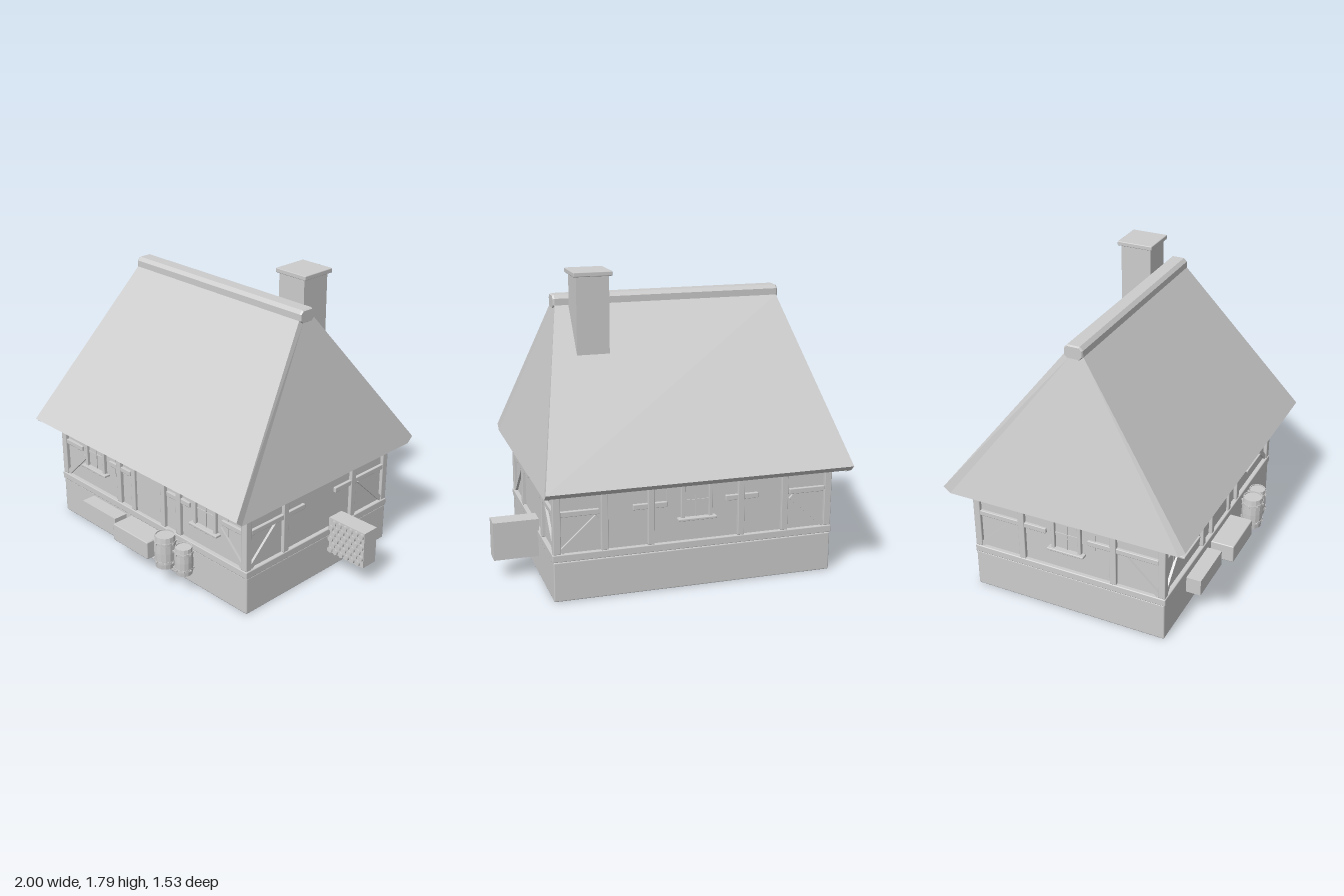
import * as THREE from 'three';
import { RoundedBoxGeometry } from 'three/addons/geometries/RoundedBoxGeometry.js';

export function createModel() {
  const model = new THREE.Group();
  const clay = new THREE.MeshStandardMaterial({ color: 0xcccccc });
  clay.name = 'light grey';

  const add = (parent, name, geometry) => {
    const mesh = new THREE.Mesh(geometry, clay);
    mesh.name = name;
    parent.add(mesh);
    return mesh;
  };
  // box between two corners, optionally with a small bevel
  const block = (parent, name, x0, x1, y0, y1, z0, z1, bevel = 0) => {
    const size = [x1 - x0, y1 - y0, z1 - z0];
    const g = bevel ? new RoundedBoxGeometry(...size, 1, bevel) : new THREE.BoxGeometry(...size);
    const mesh = add(parent, name, g);
    mesh.position.set((x0 + x1) / 2, (y0 + y1) / 2, (z0 + z1) / 2);
    return mesh;
  };

  // base and wall core
  block(model, 'foundation', -0.935, 0.735, 0, 0.235, -0.62, 0.59, 0.008);
  block(model, 'sillBeam', -0.94, 0.74, 0.235, 0.28, -0.622, 0.597, 0.006);
  block(model, 'walls', -0.915, 0.715, 0.25, 0.77, -0.6, 0.57);
  for (const x of [-0.935, 0.69])
    for (const z of [-0.62, 0.55])
      block(model, 'cornerPost', x, x + 0.045, 0.28, 0.77, z, z + 0.043, 0.005);

  // timber parts, in wall coordinates: u along the wall, y up, z outward from the plaster
  const post = (w, u, width = 0.04) =>
    block(w, 'post', u - width / 2, u + width / 2, 0.28, 0.76, -0.01, 0.022, 0.004);
  const rail = (w, u0, u1) => block(w, 'rail', u0, u1, 0.495, 0.527, -0.01, 0.018, 0.004);
  const brace = (w, u0, y0, u1, y1) => {
    const length = Math.hypot(u1 - u0, y1 - y0);
    const m = add(w, 'brace', new THREE.BoxGeometry(length, 0.03, 0.026));
    m.position.set((u0 + u1) / 2, (y0 + y1) / 2, 0.002);
    m.rotation.z = Math.atan2(y1 - y0, u1 - u0);
  };
  const windowUnit = (w, u) => {
    const g = new THREE.Group();
    g.name = 'window';
    g.position.x = u;
    w.add(g);
    block(g, 'shutters', -0.178, 0.178, 0.43, 0.61, -0.004, 0.004);
    block(g, 'pane', -0.075, 0.075, 0.42, 0.62, 0, 0.007);
    for (const s of [-1, 1])
      block(g, 'jamb', s * 0.083 - 0.011, s * 0.083 + 0.011, 0.42, 0.62, 0, 0.025, 0.003);
    block(g, 'mullion', -0.004, 0.004, 0.42, 0.62, 0, 0.012);
    block(g, 'crossbar', -0.075, 0.075, 0.515, 0.523, 0, 0.012);
    block(g, 'lintel', -0.102, 0.102, 0.615, 0.637, 0, 0.032, 0.004);
    block(g, 'windowSill', -0.115, 0.115, 0.407, 0.422, 0, 0.042, 0.004);
  };
  const wall = (name, x, z, angle) => {
    const g = new THREE.Group();
    g.name = name;
    g.position.set(x, 0, z);
    g.rotation.y = angle;
    model.add(g);
    return g;
  };

  // front wall
  const front = wall('frontWall', -0.1, 0.57, 0);
  for (const s of [-1, 1]) {
    post(front, s * 0.27);
    post(front, s * 0.134, 0.037);
    rail(front, s * 0.265 - 0.1, s * 0.265 + 0.1);
    rail(front, s * 0.71 - 0.08, s * 0.71 + 0.08);
    brace(front, s * 0.79, 0.29, s * 0.61, 0.465);
    windowUnit(front, s * 0.497);
  }
  block(front, 'door', -0.115, 0.115, 0.28, 0.68, -0.002, 0.006);

  // back wall
  const back = wall('backWall', -0.1, -0.6, Math.PI);
  windowUnit(back, 0);
  for (const s of [-1, 1]) {
    post(back, s * 0.27);
    post(back, s * 0.54);
    rail(back, s * 0.275 - 0.1, s * 0.275 + 0.1);
    rail(back, s * 0.68 - 0.11, s * 0.68 + 0.11);
    brace(back, s * 0.79, 0.29, s * 0.58, 0.48);
  }

  // end walls
  const right = wall('leftEndWall', 0.715, -0.015, Math.PI / 2);
  const left = wall('rightEndWall', -0.915, -0.015, -Math.PI / 2);
  for (const w of [right, left])
    for (const s of [-1, 1]) {
      post(w, s * 0.29);
      rail(w, s * 0.348 - 0.217, s * 0.348 + 0.217);
      brace(w, s * 0.565, 0.29, s * 0.345, 0.5);
    }
  windowUnit(left, 0);

  // hipped roof: rings of eight points, one point on each side of every hip edge
  // ring: half length and height for slope corners and hip corners, half depths
  const ring = ([ax, ay, az, hx, hy, hz]) => {
    const p = [];
    for (const [sx, sz] of [[1, 1], [1, -1], [-1, -1], [-1, 1]]) {
      const a = [sx * ax - 0.1, ay, sz * az - 0.015];
      const h = [sx * hx - 0.1, hy, sz * hz - 0.015];
      p.push(...(sx * sz > 0 ? [a, h] : [h, a]));
    }
    return p;
  };
  const rings = [
    [0.8, 0.8, 0.58, 0.8, 0.8, 0.58],
    [0.885, 0.645, 0.708, 0.87, 0.637, 0.7],
    [0.9, 0.68, 0.75, 0.9, 0.645, 0.71],
    [0.68, 1.575, 0.058, 0.68, 1.575, 0.015],
  ].map(ring);
  const verts = [];
  for (let r = 0; r < rings.length - 1; r++)
    for (let i = 0; i < 8; i++) {
      const j = (i + 1) % 8;
      const [a, b, c, d] = [rings[r][i], rings[r][j], rings[r + 1][j], rings[r + 1][i]];
      verts.push(...a, ...b, ...c, ...a, ...c, ...d);
    }
  const roof = new THREE.BufferGeometry();
  roof.setAttribute('position', new THREE.Float32BufferAttribute(verts, 3));
  roof.computeVertexNormals();
  add(model, 'roof', roof);

  // ridge cap with chamfered section
  const hw = 0.057, hh = 0.04, c = 0.02;
  const section = new THREE.Shape([
    [-hw, -hh + c], [-hw + c, -hh], [hw - c, -hh], [hw, -hh + c],
    [hw, hh - c], [hw - c, hh], [-hw + c, hh], [-hw, hh - c],
  ].map(([x, y]) => new THREE.Vector2(x, y)));
  const ridge = add(model, 'ridgeCap', new THREE.ExtrudeGeometry(section, {
    depth: 1.36, bevelEnabled: true, bevelThickness: 0.01, bevelSize: 0.006, bevelOffset: -0.006, bevelSegments: 1,
  }));
  ridge.rotation.y = Math.PI / 2;
  ridge.position.set(-0.78, 1.593, -0.015);

  // chimney
  block(model, 'chimney', 0.31, 0.5, 1.15, 1.77, -0.27, -0.08);
  block(model, 'chimneyCap', 0.295, 0.52, 1.763, 1.79, -0.29, -0.065, 0.005);

  // trough and doorstep along the front
  block(model, 'trough', -0.63, -0.31, 0.12, 0.22, 0.57, 0.68);
  block(model, 'doorstep', -0.26, 0.055, 0.12, 0.232, 0.57, 0.735, 0.006);

  // barrels with hoops and rivets
  const barrel = (x, z, r, h) => {
    const g = new THREE.Group();
    g.name = 'barrel';
    g.position.set(x, 0.12, z);
    model.add(g);
    const profile = [[0, 0], [0.9, 0], [0.98, 0.25], [1, 0.5], [0.98, 0.75], [0.9, 1], [0.82, 1], [0.82, 0.96], [0, 0.96]]
      .map(([a, b]) => new THREE.Vector2(a * r, b * h));
    const body = new THREE.LatheGeometry(profile, 14).toNonIndexed();
    body.computeVertexNormals();
    add(g, 'barrelBody', body);
    for (const t of [0.2, 0.8]) {
      const hoop = add(g, 'hoop', new THREE.CylinderGeometry(r * 1.01, r * 1.01, 0.016, 14));
      hoop.position.y = t * h;
      for (let i = 0; i < 8; i++) {
        const angle = (i / 8) * Math.PI * 2;
        const rivet = add(g, 'rivet', new THREE.BoxGeometry(0.01, 0.01, 0.01));
        rivet.position.set(Math.sin(angle) * r * 1.03, t * h, Math.cos(angle) * r * 1.03);
        rivet.rotation.y = angle;
      }
    }
  };
  barrel(0.167, 0.692, 0.066, 0.205);
  barrel(0.305, 0.672, 0.056, 0.175);

  // firewood stack with hexagonal log ends
  block(model, 'woodStack', 0.73, 1, 0.12, 0.35, -0.21, -0.1);
  for (let row = 0; row < 6; row++)
    for (let i = 0; i < 6; i++) {
      const log = add(model, 'logEnd', new THREE.CylinderGeometry(0.019, 0.019, 0.02, 6));
      log.rotation.x = Math.PI / 2;
      log.position.set(0.752 + i * 0.042 + (row % 2) * 0.019, 0.142 + row * 0.037, -0.096);
    }
  return model;
}
